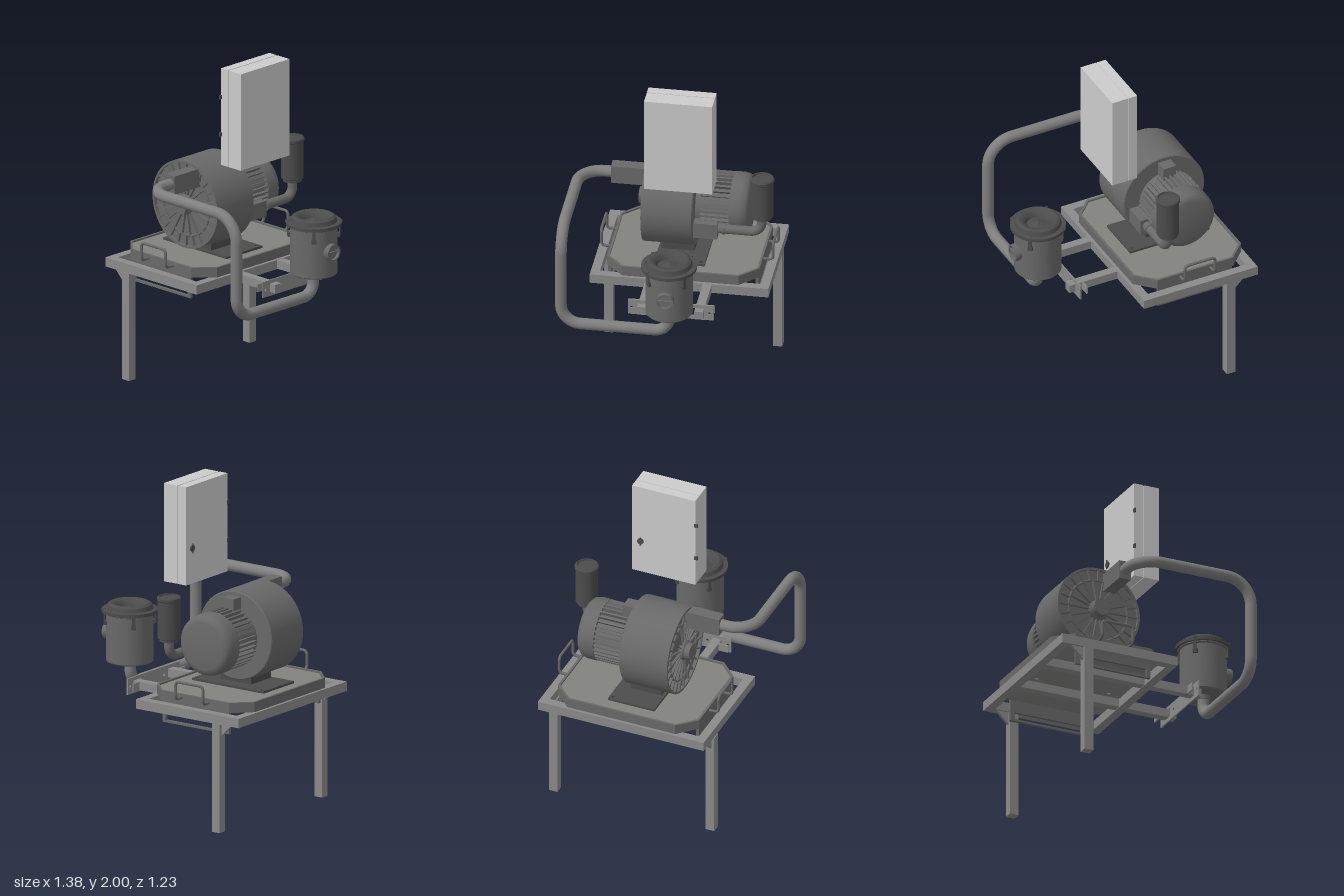
import * as THREE from 'three';
import { toCreasedNormals } from 'three/addons/utils/BufferGeometryUtils.js';

const material = (color) => new THREE.MeshStandardMaterial({ color, side: THREE.DoubleSide });
const STEEL = material(0x8a8a8a), SHEET = material(0x82827f), TUBE = material(0x7e7e7e), CAST = material(0x696969);
const DARK = material(0x4c4c4c), CABINET = material(0xd4d4d4);
const V = (x, y, z) => new THREE.Vector3(x, y, z);
const v2 = ([x, y]) => new THREE.Vector2(x, y);

export function createModel() {
  const root = new THREE.Group();

  const add = (name, mat, geo, x = 0, y = 0, z = 0, parent = root) => {
    const m = new THREE.Mesh(geo, mat);
    m.name = name;
    m.position.set(x, y, z);
    parent.add(m);
    return m;
  };
  // Box given by its limits on each axis
  const box = (name, mat, x0, x1, y0, y1, z0, z1, parent = root) =>
    add(name, mat, new THREE.BoxGeometry(x1 - x0, y1 - y0, z1 - z0), (x0 + x1) / 2, (y0 + y1) / 2, (z0 + z1) / 2, parent);
  const lathe = (pts, n = 48) => toCreasedNormals(new THREE.LatheGeometry(pts.map(v2), n), 0.6);
  const polygon = (pts) => new THREE.Shape(pts.map(v2));
  const extrude = (shape, depth) =>
    new THREE.ExtrudeGeometry(shape, { depth, bevelEnabled: false, curveSegments: 16 });
  const drill = (shape, x, y, r) => shape.holes.push(new THREE.Path().absarc(x, y, r, 0, Math.PI * 2, true));
  // Round tube through corner points, each corner rounded by its own radius
  const pipe = (name, mat, pts, radii, radius, segs = 140, sides = 20) => {
    const path = new THREE.CurvePath();
    let from = pts[0];
    for (let i = 1; i < pts.length - 1; i++) {
      const c = pts[i], r = radii[i - 1];
      const a = c.clone().add(pts[i - 1].clone().sub(c).setLength(r));
      const b = c.clone().add(pts[i + 1].clone().sub(c).setLength(r));
      path.add(new THREE.LineCurve3(from, a));
      path.add(new THREE.CubicBezierCurve3(a, a.clone().lerp(c, 0.552), b.clone().lerp(c, 0.552), b));
      from = b;
    }
    path.add(new THREE.LineCurve3(from, pts[pts.length - 1]));
    return add(name, mat, new THREE.TubeGeometry(path, segs, radius, sides));
  };

  // Support frame with two legs, each with an outer gusset
  box('frameLeftRail', STEEL, 0.022, 0.077, 0.677, 0.735, -0.612, 0.475);
  box('frameRightRail', STEEL, -0.692, -0.637, 0.677, 0.735, -0.612, 0.475);
  box('frameFrontRail', STEEL, -0.637, 0.022, 0.677, 0.735, 0.42, 0.475);
  box('frameBackRail', STEEL, -0.637, 0.022, 0.677, 0.735, -0.612, -0.557);
  for (const z of [0.452, -0.577]) {
    box('leg', STEEL, -0.545, -0.487, 0, 0.677, z - 0.028, z + 0.028);
    add('legGusset', STEEL, extrude(polygon([[-0.622, 0.677], [-0.545, 0.6], [-0.545, 0.677]]), 0.02), 0, 0, z - 0.01);
  }

  // Cross beams that run on as arms towards the filter
  for (const z of [0.107, -0.24]) box('arm', STEEL, -0.637, 0.403, 0.68, 0.733, z - 0.027, z + 0.027);

  // Slotted plates hanging below the tray
  for (const z of [0.368, -0.53]) {
    const s = polygon([[-0.56, 0.6], [-0.06, 0.6], [-0.06, 0.736], [-0.56, 0.736]]);
    s.holes.push(polygon([[-0.53, 0.614], [-0.085, 0.614], [-0.085, 0.657], [-0.53, 0.657]]));
    add('hangerPlate', CAST, extrude(s, 0.018), 0, 0, z);
  }

  // Eight-sided base tray with raised rim and bolt holes
  const octagon = (i) => {
    const x0 = -0.674 + i, x1 = 0.057 - i, z0 = -0.39 + i, z1 = 0.537 - i, c = 0.11 - i * 0.6;
    return [[x0 + c, z0], [x1 - c, z0], [x1, z0 + c], [x1, z1 - c], [x1 - c, z1], [x0 + c, z1], [x0, z1 - c], [x0, z0 + c]];
  };
  const boltX = [-0.547, -0.066];
  const trayFloor = polygon(octagon(0.005));
  for (const x of boltX) drill(trayFloor, x, 0.18, 0.011);
  add('trayFloor', SHEET, extrude(trayFloor, 0.05).rotateX(-Math.PI / 2), 0, 0.736, 0);
  const rim = polygon(octagon(0));
  rim.holes.push(polygon(octagon(0.014)));
  add('trayRim', CAST, extrude(rim, 0.062).rotateX(-Math.PI / 2), 0, 0.735, 0);

  // Carrying handles at both ends
  for (const [z, d] of [[0.385, 1], [-0.53, -1]]) {
    const o = z + d * 0.065;
    pipe('handle', CAST, [V(-0.412, 0.775, z), V(-0.412, 0.775, o), V(-0.412, 0.887, o), V(-0.208, 0.887, o),
      V(-0.208, 0.775, o), V(-0.208, 0.775, z)], [0.025, 0.025, 0.025, 0.025], 0.009, 80, 8);
  }

  // Blower housing, its ribbed front cover and hub
  const blower = new THREE.Group();
  blower.name = 'blower';
  blower.position.set(-0.307, 1.09, 0);
  root.add(blower);
  add('housing', CAST, lathe([[0, -0.13], [0.268, -0.13], [0.274, -0.124], [0.274, 0.185], [0.26, 0.185],
    [0.26, 0.165], [0, 0.165]], 64).rotateX(Math.PI / 2), 0, 0, 0, blower);
  add('coverRing', CAST, new THREE.TorusGeometry(0.195, 0.007, 6, 64), 0, 0, 0.172, blower);
  add('hub', CAST, lathe([[0.062, 0.16], [0.062, 0.19], [0.052, 0.2], [0.052, 0.232], [0, 0.232]], 32)
    .rotateX(Math.PI / 2), 0, 0, 0, blower);
  // Radial bars between two radii around the blower axis
  const radialBars = (name, n, r0, r1, w, depth, z) => {
    for (let i = 0; i < n; i++) {
      const a = (i / n) * Math.PI * 2, r = (r0 + r1) / 2;
      const m = add(name, CAST, new THREE.BoxGeometry(r1 - r0, w, depth), Math.cos(a) * r, Math.sin(a) * r, z, blower);
      m.rotation.z = a;
    }
  };
  radialBars('innerCoverRib', 18, 0.055, 0.195, 0.007, 0.017, 0.173);
  radialBars('outerCoverRib', 24, 0.195, 0.262, 0.009, 0.017, 0.173);

  // Motor: finned body and rounded fan cover
  add('motorBody', CAST, lathe([[0, -0.36], [0.163, -0.36], [0.163, -0.12], [0, -0.12]]).rotateX(Math.PI / 2), 0, 0, 0, blower);
  add('fanCover', CAST, lathe([[0, -0.454], [0.145, -0.454], [0.165, -0.449], [0.182, -0.432], [0.19, -0.4],
    [0.19, -0.338], [0.163, -0.338]]).rotateX(Math.PI / 2), 0, 0, 0, blower);
  radialBars('coolingFin', 36, 0.153, 0.188, 0.01, 0.185, -0.252);
  box('terminalBox', CAST, -0.35, -0.265, 1.17, 1.335, -0.205, -0.12);

  // Mounting foot under the blower
  const foot = polygon([[-0.575, -0.1], [-0.04, -0.1], [-0.04, 0.205], [-0.575, 0.205]]);
  for (const x of boltX) drill(foot, x, 0.18, 0.011);
  add('mountingFoot', DARK, extrude(foot, 0.014).rotateX(-Math.PI / 2), 0, 0.786, 0);
  box('pedestal', DARK, -0.42, -0.19, 0.79, 0.87, -0.12, 0.08);

  // Suction duct and the long pipe to the filter
  box('suctionDuct', CAST, -0.27, -0.193, 1.225, 1.34, 0.16, 0.39);
  pipe('suctionPipe', TUBE, [V(-0.23, 1.283, 0.38), V(-0.23, 1.283, 0.578), V(0.517, 1.283, 0.578), V(0.517, 0.653, 0.578),
    V(0.517, 0.653, -0.078), V(0.517, 0.81, -0.078)], [0.15, 0.16, 0.12, 0.085], 0.035, 220, 24);

  // Exhaust block, elbow and silencer
  box('exhaustBlock', CAST, -0.14, -0.074, 0.96, 1.06, -0.275, -0.12);
  pipe('exhaustPipe', CAST, [V(-0.117, 1.015, -0.26), V(-0.117, 1.015, -0.54), V(-0.117, 1.135, -0.54)], [0.065], 0.029, 60);
  add('exhaustCollar', CAST, new THREE.CylinderGeometry(0.034, 0.034, 0.02, 24).rotateX(Math.PI / 2), -0.117, 1.015, -0.31);
  add('silencer', DARK, lathe([[0, 1.115], [0.058, 1.115], [0.058, 1.13], [0.068, 1.135], [0.068, 1.365], [0.073, 1.37],
    [0.073, 1.385], [0.066, 1.392], [0.06, 1.392], [0.058, 1.382], [0, 1.382]], 36), -0.12, 0, -0.543);

  // Filter canister with lid, clamps and side port
  const filter = new THREE.Group();
  filter.name = 'filter';
  filter.position.set(0.519, 0, -0.08);
  root.add(filter);
  add('canister', CAST, lathe([[0, 0.79], [0.136, 0.79], [0.143, 0.797], [0.143, 1.085], [0.155, 1.09], [0.155, 1.1], [0, 1.1]]), 0, 0, 0, filter);
  add('lid', DARK, lathe([[0.15, 1.095], [0.168, 1.097], [0.168, 1.117], [0.142, 1.12], [0.134, 1.145], [0.118, 1.155],
    [0.1, 1.152], [0.075, 1.13], [0.068, 1.112], [0.03, 1.118], [0, 1.14]]), 0, 0, 0, filter);
  add('outletNeck', CAST, new THREE.CylinderGeometry(0.043, 0.043, 0.03, 24), 0, 0.78, 0, filter);
  add('sidePort', CAST, lathe([[0.053, 0.13], [0.053, 0.173], [0.043, 0.173], [0.043, 0.155], [0, 0.155]], 28)
    .rotateZ(-Math.PI / 2), 0, 0.953, 0, filter);
  box('portBar', CAST, 0.15, 0.165, 0.948, 0.958, -0.045, 0.045, filter);
  for (let i = 0; i < 4; i++) {
    const clamp = new THREE.Group();
    clamp.name = 'clamp';
    clamp.rotation.y = Math.PI / 4 + (i * Math.PI) / 2;
    filter.add(clamp);
    box('clampLever', DARK, 0.152, 0.16, 1.03, 1.1, -0.01, 0.01, clamp);
    box('clampFoot', DARK, 0.138, 0.158, 1.02, 1.045, -0.014, 0.014, clamp);
    box('clampHook', DARK, 0.145, 0.173, 1.108, 1.122, -0.008, 0.008, clamp);
  }

  // Bracket plate across the arms, with square cut-outs
  const bracket = polygon([[-0.195, 0.655], [0.325, 0.655], [0.325, 0.755], [-0.195, 0.755]]);
  for (const x of [-0.107, 0.22]) {
    bracket.holes.push(polygon([[x - 0.027, 0.68], [x + 0.027, 0.68], [x + 0.027, 0.733], [x - 0.027, 0.733]]));
  }
  for (const x of [-0.175, -0.04, 0.15, 0.3]) drill(bracket, x, 0.705, 0.009);
  add('bracketPlate', STEEL, extrude(bracket, 0.008).rotateY(Math.PI / 2), 0.352, 0, 0);
  for (const [z0, z1] of [[0.13, 0.195], [-0.325, -0.262]]) {
    box('bracketEar', STEEL, 0.308, 0.317, 0.682, 0.731, z0, z1);
  }

  // Control cabinet with door, hinges and lock
  box('cabinetBody', CABINET, 0.016, 0.118, 1.39, 2, -0.277, 0.138);
  box('cabinetSeal', CABINET, 0.01, 0.016, 1.393, 1.997, -0.273, 0.134);
  box('cabinetDoor', CABINET, -0.05, 0.01, 1.39, 2, -0.277, 0.138);
  for (const y of [1.585, 1.82]) box('hinge', DARK, -0.053, -0.042, y - 0.012, y + 0.012, 0.13, 0.152);
  add('lock', DARK, new THREE.CylinderGeometry(0.02, 0.02, 0.012, 20).rotateZ(Math.PI / 2), -0.053, 1.61, -0.22);
  box('lockKey', DARK, -0.061, -0.055, 1.58, 1.64, -0.223, -0.217);

  return root;
}
